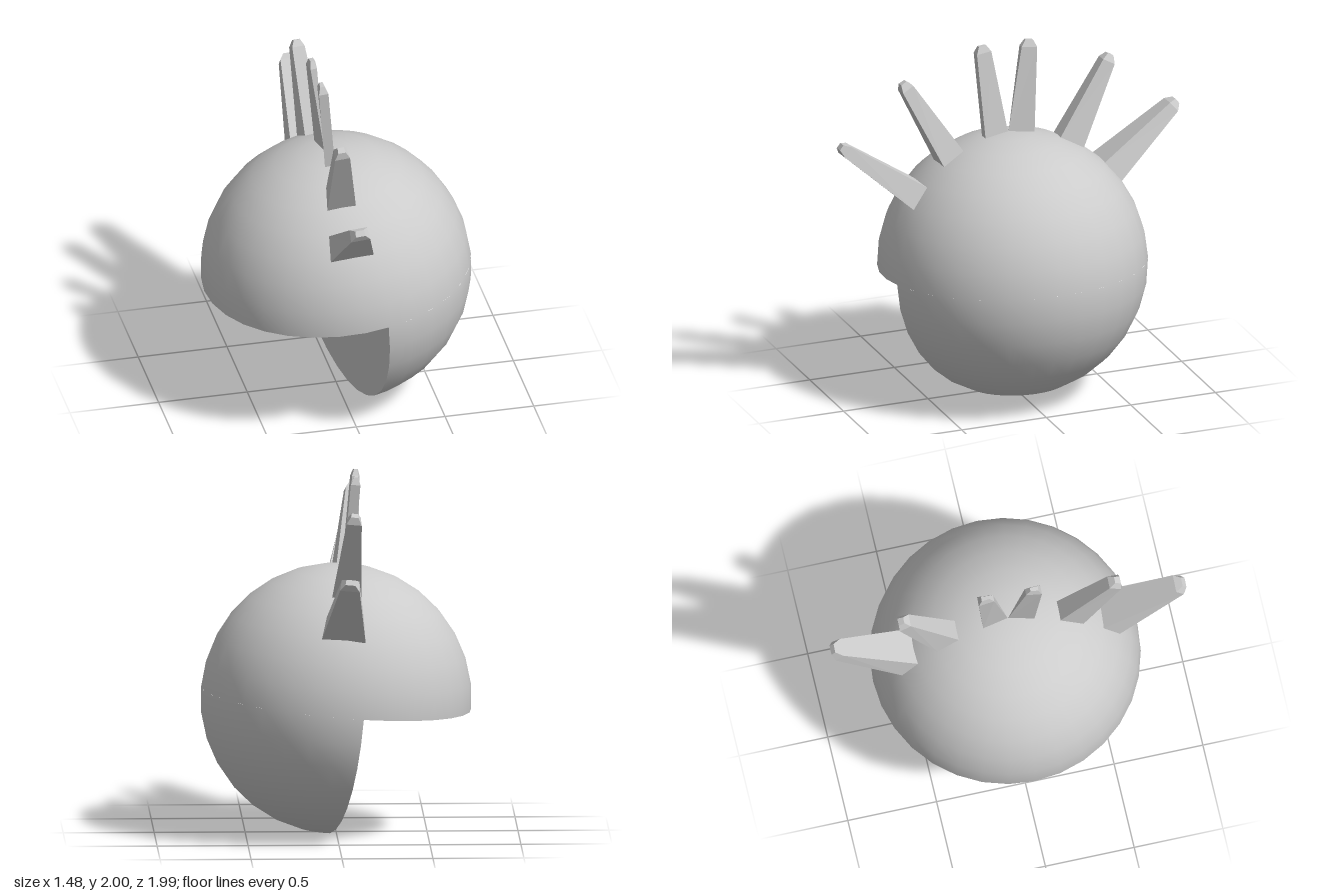
import * as THREE from 'three';

const R = 0.745;
const deg = Math.PI / 180;

// One tapered spike growing from a patch of the dome between two polar angles
function spikeGeometry(inner, outer, thick) {
  const geo = new THREE.BoxGeometry(2, 2, 2, 1, 2, 1);
  const p = geo.attributes.position;
  const mid = (inner + outer) / 2 + 0.6 * deg;
  for (let i = 0; i < p.count; i++) {
    const sx = p.getX(i), row = Math.round(p.getY(i)), sz = p.getZ(i);
    const a = sz < 0 ? inner : outer;
    const half = R * Math.sin(a) * 0.195;
    if (row < 0) {
      // root on the dome, sunk slightly
      p.setXYZ(i, sx * half, R * 0.985 * Math.cos(a), R * 0.985 * Math.sin(a));
    } else {
      // shoulder, then the smaller blunt tip
      const r = row === 0 ? 1.225 : 1.263;
      const k = row === 0 ? 1 : 0.5;
      const w = (0.018 + half * 0.3) * k;
      const t = sz * thick * k;
      p.setXYZ(i, sx * w, r * Math.cos(mid) - t * Math.sin(mid), r * Math.sin(mid) + t * Math.cos(mid));
    }
  }
  const flat = geo.toNonIndexed();
  flat.computeVertexNormals();
  return flat;
}

export function createModel() {
  const model = new THREE.Group();
  const smooth = new THREE.MeshStandardMaterial({ color: 0xcccccc });
  const faceted = new THREE.MeshStandardMaterial({ color: 0xcccccc, flatShading: true });
  const add = (parent, name, geo, mat = smooth) => {
    const mesh = new THREE.Mesh(geo, mat);
    mesh.name = name;
    parent.add(mesh);
    return mesh;
  };

  // Everything leans 5 degrees around the ball's centre
  const body = new THREE.Group();
  body.name = 'body';
  body.position.y = R;
  body.rotation.z = 5 * deg;
  model.add(body);

  // Upper half ball with a flat underside
  add(body, 'upperDome', new THREE.SphereGeometry(R, 32, 8, 0, Math.PI * 2, 0, Math.PI / 2));
  add(body, 'domeUnderside', new THREE.CircleGeometry(R, 32).rotateX(Math.PI / 2));

  // Lower quarter ball with a flat, upright cut face
  const jaw = new THREE.Group();
  jaw.name = 'jaw';
  jaw.rotation.y = 10 * deg;
  body.add(jaw);
  add(jaw, 'jawShell', new THREE.SphereGeometry(R, 16, 8, Math.PI / 2, Math.PI, Math.PI / 2, Math.PI / 2));
  add(jaw, 'jawFace', new THREE.CircleGeometry(R, 16, Math.PI, Math.PI).rotateY(-Math.PI / 2));

  // Crest of three spikes, repeated on the back
  const crest = new THREE.Group();
  crest.name = 'crest';
  crest.rotation.y = -1.2 * deg;
  body.add(crest);
  [0.044, 0.036, 0.034].forEach((thick, i) => {
    const geo = spikeGeometry(i * 22.5 * deg, (i * 22.5 + 11.25) * deg, thick);
    add(crest, 'frontSpike' + (i + 1), geo, faceted);
    add(crest, 'backSpike' + (i + 1), geo, faceted).rotation.y = Math.PI;
  });

  return model;
}
